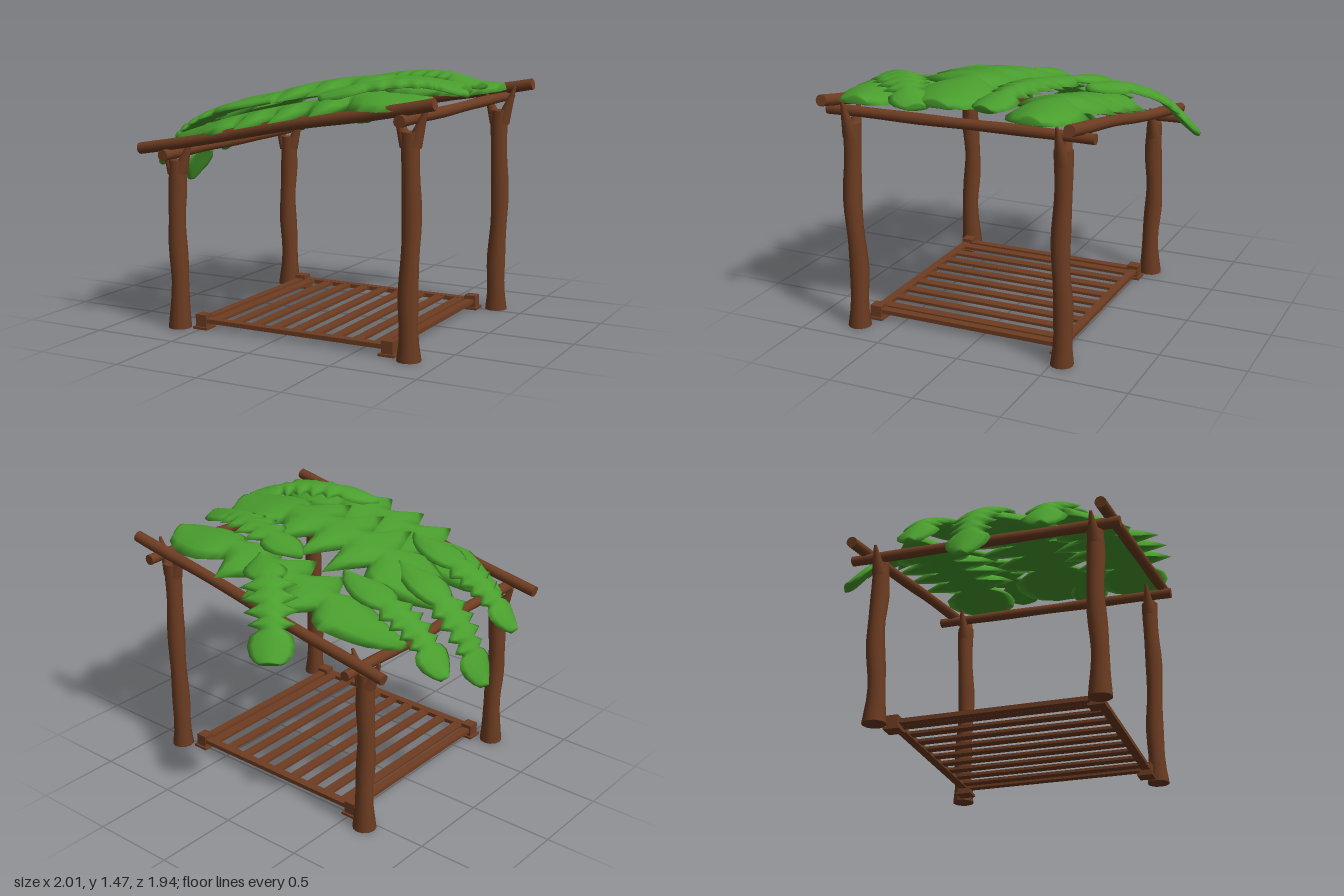
import * as THREE from 'three';

const wood = new THREE.MeshStandardMaterial({ color: 0x6e3d22 });
const leafGreen = new THREE.MeshStandardMaterial({ color: 0x4a9e2e, side: THREE.DoubleSide });
const V = (x, y, z) => new THREE.Vector3(x, y, z);

function add(group, name, geometry, material = wood) {
  const mesh = new THREE.Mesh(geometry, material);
  mesh.name = name;
  group.add(mesh);
  return mesh;
}

function box(group, name, w, h, d, x, y, z) {
  add(group, name, new THREE.BoxGeometry(w, h, d)).position.set(x, y, z);
}

// Slightly crooked round log between two points
function log(group, name, a, b, r0, r1, wobble = 0, flare = 0, phase = 0) {
  const length = a.distanceTo(b);
  const g = new THREE.CylinderGeometry(r1, r0, length, 12, 14);
  const p = g.attributes.position;
  for (let i = 0; i < p.count; i++) {
    const t = p.getY(i) / length + 0.5;
    const s = 1 + flare * Math.max(0, 1 - t * 9) + wobble * 4 * Math.sin(t * 17 + phase);
    const bend = wobble * Math.sin(t * 7.5 + phase) * Math.sin(Math.PI * t);
    p.setX(i, p.getX(i) * s + bend);
    p.setZ(i, p.getZ(i) * s + bend * 0.5);
  }
  const mesh = add(group, name, g);
  mesh.position.copy(a).lerp(b, 0.5);
  mesh.quaternion.setFromUnitVectors(V(0, 1, 0), b.clone().sub(a).normalize());
}

// Outlines as [position along the leaf, half width]: lobe, barbs, lobe
const bigOutline = [[0, 0.03], [0.03, 0.09], [0.09, 0.16], [0.17, 0.23], [0.25, 0.28], [0.29, 0.24], [0.325, 0.14],
  [0.395, 0.41], [0.457, 0.13], [0.525, 0.41], [0.586, 0.13], [0.667, 0.38], [0.735, 0.13],
  [0.765, 0.2], [0.81, 0.27], [0.87, 0.28], [0.94, 0.23], [0.98, 0.17], [1, 0.09]];
const hangingOutline = [[0, 0.01], [0.06, 0.06], [0.14, 0.1], [0.23, 0.13], [0.31, 0.13], [0.37, 0.11], [0.41, 0.08],
  [0.475, 0.15], [0.515, 0.085], [0.565, 0.15], [0.605, 0.08], [0.655, 0.14], [0.695, 0.07], [0.74, 0.125],
  [0.77, 0.075], [0.795, 0.11], [0.84, 0.13], [0.9, 0.115], [0.96, 0.075], [1, 0.035]];
const lyingOutline = [[0, 0.02], [0.06, 0.065], [0.13, 0.105], [0.2, 0.125], [0.27, 0.115], [0.32, 0.08],
  [0.39, 0.16], [0.44, 0.075], [0.51, 0.16], [0.56, 0.07], [0.62, 0.15], [0.67, 0.065], [0.72, 0.13],
  [0.755, 0.065], [0.8, 0.115], [0.87, 0.13], [0.94, 0.115], [0.98, 0.09], [1, 0.065]];

// Closed leaf swept along a curve, its edges drooping below the midrib
function leaf(group, name, points, outline, scale, thickness, droop) {
  const curve = new THREE.CatmullRomCurve3(points.map((q) => V(...q)));
  const rows = [];
  outline.forEach(([t, w], i) => {
    if (i) {
      const [t0, w0] = outline[i - 1];
      rows.push([(t + t0) / 2, (w + w0) / 2]);
    }
    rows.push([t, w]);
  });
  const n = 8, ring = 2 * n, pos = [], index = [];
  rows.forEach(([t, w]) => {
    const c = curve.getPointAt(t), d = curve.getTangentAt(t);
    const side = V(-d.z, 0, d.x).normalize();
    const up = side.clone().cross(d).normalize();
    const fade = Math.min(1, 0.35 + 6 * Math.min(t, 1 - t));
    for (let k = 0; k < ring; k++) {
      // over the top from one edge to the other, then back below
      const u = k <= n ? -1 + (2 * k) / n : 1 - (2 * (k - n)) / n;
      const body = thickness * (1 - u * u) * (k <= n ? 0.6 : -0.4) + (k <= n ? 0.004 : -0.004);
      const q = c.clone().addScaledVector(side, u * w * scale).addScaledVector(up, body - droop * fade * u * u);
      pos.push(q.x, q.y, q.z);
    }
  });
  for (let r = 0; r < rows.length - 1; r++) {
    for (let k = 0; k < ring; k++) {
      const a = r * ring + k, b = r * ring + ((k + 1) % ring);
      index.push(a, b, a + ring, b, b + ring, a + ring);
    }
  }
  // end caps
  const last = (rows.length - 1) * ring;
  for (let k = 1; k < ring - 1; k++) {
    index.push(0, k + 1, k, last, last + k, last + k + 1);
  }
  const g = new THREE.BufferGeometry();
  g.setAttribute('position', new THREE.Float32BufferAttribute(pos, 3));
  g.setIndex(index);
  g.computeVertexNormals();
  add(group, name, g, leafGreen);
}

export function createModel() {
  const model = new THREE.Group();
  model.name = 'leafRoofShelter';

  // Forked corner posts and the beams lying in the forks
  const railY = (x) => 1.195 + 0.182 * x;
  const sides = [{ x: -0.635, top: 0.98, beam: 1.02 }, { x: 0.825, top: 1.22, beam: 1.285 }];
  sides.forEach(({ x, top, beam }, i) => {
    [0.716, -0.552].forEach((z, j) => {
      const post = new THREE.Group();
      post.name = 'post';
      model.add(post);
      log(post, 'trunk', V(x, 0, z), V(x, top, z), 0.054, 0.05, 0.014, 0.25, i * 3 + j * 0.6);
      for (const s of [-1, 1]) {
        const tip = V(x + s * 0.093, railY(x + s * 0.093), z);
        log(post, 'forkProng', V(x + s * 0.018, top - 0.07, z), tip, 0.044, 0.008);
      }
    });
    log(model, 'crossBeam', V(x, beam, 0.86), V(x, beam + 0.01, -0.73), 0.032, 0.03, 0.012, 0, i * 2);
  });

  // Sloping roof rails
  for (const z of [0.797, -0.652]) {
    log(model, 'roofRail', V(-0.832, 1.043, z), V(0.994, 1.375, z), 0.032, 0.034, 0.008, 0, z);
  }

  // Slatted floor with corner blocks
  const floor = new THREE.Group();
  floor.name = 'floor';
  floor.position.set(0.095, 0, 0.09);
  model.add(floor);
  for (const s of [-1, 1]) {
    box(floor, 'floorFrameSide', 0.05, 0.025, 1.16, s * 0.595, 0.05, 0);
    box(floor, 'floorFrameEnd', 1.19, 0.025, 0.05, 0, 0.05, s * 0.585);
    for (const q of [-1, 1]) {
      box(floor, 'cornerBlock', 0.07, 0.075, 0.07, s * 0.595, 0.047, q * 0.58);
      box(floor, 'cornerPlate', 0.095, 0.014, 0.095, s * 0.595, 0.007, q * 0.58);
    }
  }
  for (let k = -4; k <= 4; k++) {
    box(floor, 'floorSlat', 0.06, 0.016, 1.16, k * 0.13, 0.053, 0);
  }

  // Three broad roof leaves
  const roof = new THREE.Group();
  roof.name = 'leafRoof';
  model.add(roof);
  leaf(roof, 'middleLeaf', [[-0.72, 1.15, 0.12], [-0.3, 1.31, 0.14], [0.15, 1.41, 0.15], [0.55, 1.435, 0.15], [0.9, 1.4, 0.15]],
    bigOutline, 1, 0.04, 0.055);
  leaf(roof, 'backLeaf', [[-0.72, 1.08, -0.33], [-0.3, 1.21, -0.36], [0.15, 1.31, -0.37], [0.55, 1.38, -0.38], [0.9, 1.37, -0.4]],
    bigOutline, 0.8, 0.04, 0.06);
  leaf(roof, 'frontLeaf', [[-0.72, 1.08, 0.58], [-0.3, 1.21, 0.63], [0.15, 1.31, 0.65], [0.55, 1.38, 0.65], [0.9, 1.37, 0.63]],
    bigOutline, 0.8, 0.04, 0.06);

  // Narrow leaves hanging over the low side
  const hanging = [
    ['lowSideBackLeaf', 1, [[-0.19, 1.32, -0.2], [-0.5, 1.26, -0.23], [-0.76, 1.13, -0.24], [-0.94, 0.92, -0.25]]],
    ['lowSideMiddleLeaf', 1.02, [[-0.33, 1.31, 0.12], [-0.6, 1.24, 0.09], [-0.82, 1.07, 0.075], [-0.985, 0.765, 0.07]]],
    ['lowSideFrontLeaf', 1, [[-0.15, 1.32, 0.5], [-0.45, 1.26, 0.48], [-0.72, 1.13, 0.47], [-0.9, 0.92, 0.49]]],
  ];
  for (const [name, scale, path] of hanging) leaf(roof, name, path, hangingOutline, scale, 0.035, 0.02);

  // Narrow leaves lying across the back and the high side
  const lying = [
    ['backHangingLeaf', [[0.22, 1.39, -0.44], [0.02, 1.37, -0.6], [-0.16, 1.26, -0.77], [-0.29, 1.06, -0.92]]],
    ['highSideBackLeaf', [[0.05, 1.385, -0.29], [0.4, 1.44, -0.22], [0.65, 1.445, -0.17], [0.88, 1.395, -0.12]]],
    ['highSideFrontLeaf', [[0.29, 1.36, 0.73], [0.5, 1.43, 0.6], [0.74, 1.445, 0.42], [0.93, 1.38, 0.24]]],
  ];
  for (const [name, path] of lying) leaf(roof, name, path, lyingOutline, 1, 0.035, 0.02);

  return model;
}
